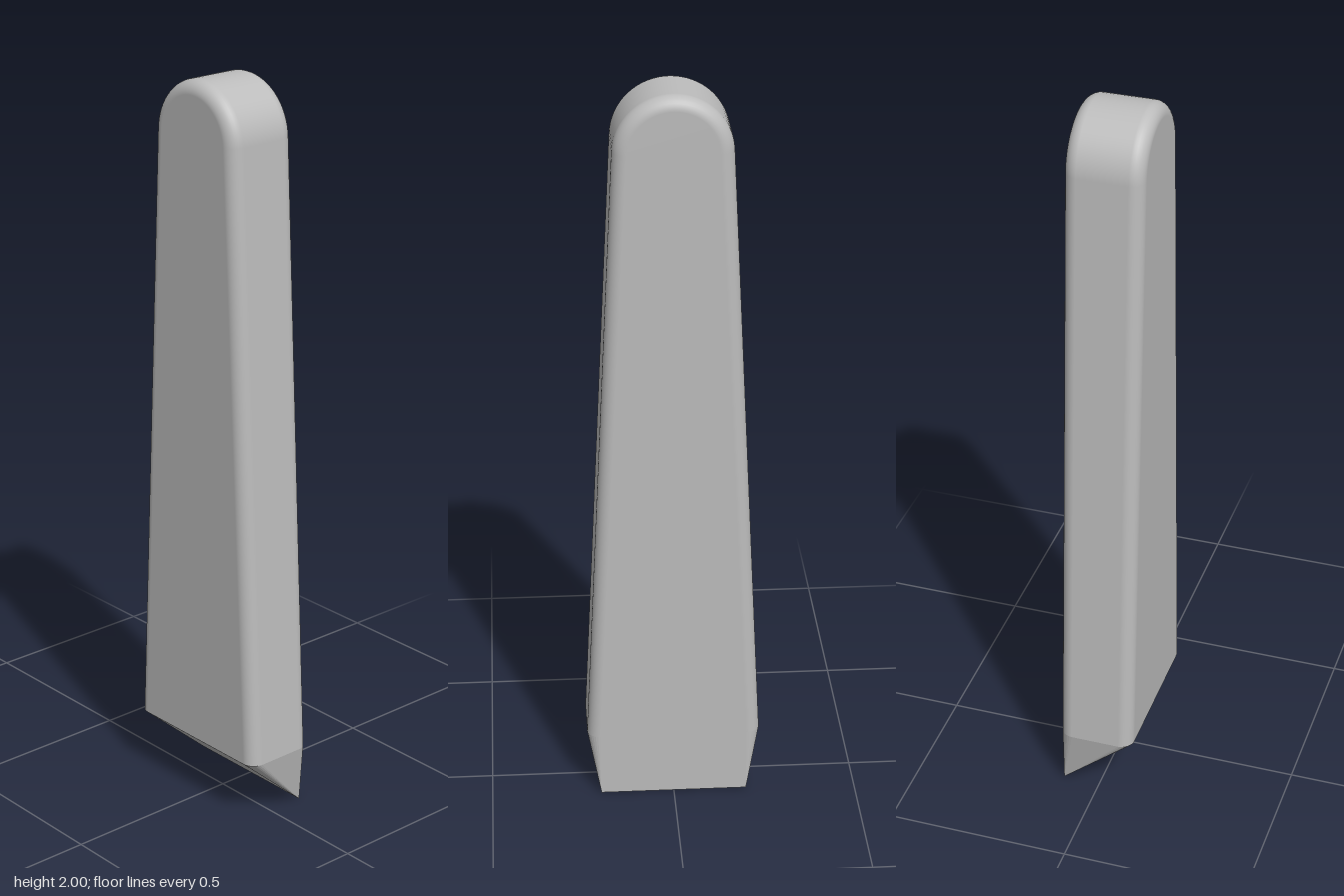
import * as THREE from 'three';

const R = 0.036;        // edge rounding
const HALF_DEPTH = 0.1025;
const HALF_BASE = 0.236;  // half width where the slanted cut begins
const CUT_Y = 0.18;
const TOP_R = 0.153;
const TOP_Y = 2 - TOP_R;
const TILT = 0.05;       // lean of the long sides
const ARC = 32, FILLET = 8;

// Stations along the inset outline, right foot over the rounded top to left foot
function outline() {
  const list = [];
  const foot = HALF_BASE - R;
  const c = Math.cos(TILT), s = Math.sin(TILT);
  list.push({ x: foot, y: CUT_Y, ox: 1, oy: 0, nx: c, ny: s });
  for (let i = 0; i <= ARC; i++) {
    const a = TILT + (Math.PI - 2 * TILT) * i / ARC;
    const nx = Math.cos(a), ny = Math.sin(a);
    list.push({ x: nx * (TOP_R - R), y: TOP_Y + ny * (TOP_R - R), ox: nx, oy: ny, nx, ny });
  }
  list.push({ x: -foot, y: CUT_Y, ox: -1, oy: 0, nx: -c, ny: s });
  return list;
}

// Rounded edge profile from the front face to the back face
function edgeProfile() {
  const list = [];
  for (const side of [1, -1]) {
    for (let k = 0; k <= FILLET; k++) {
      const t = k / FILLET * Math.PI / 2;
      const a = side > 0 ? Math.PI / 2 - t : -t;
      list.push({ out: Math.cos(a), nz: Math.sin(a), z: side * (HALF_DEPTH - R) + R * Math.sin(a) });
    }
  }
  return list;
}

export function createModel() {
  const group = new THREE.Group();
  group.name = 'taperedPeg';
  const grey = new THREE.MeshStandardMaterial({ color: 0xbcbcbc });
  grey.name = 'plain grey';
  const add = (name, geometry) => {
    const mesh = new THREE.Mesh(geometry, grey);
    mesh.name = name;
    group.add(mesh);
  };

  const stations = outline(), profile = edgeProfile();
  const cols = profile.length;

  // Sides, rounded top and rounded edges in one smooth band
  const pos = [], nor = [], idx = [];
  stations.forEach((s, i) => profile.forEach((p, j) => {
    pos.push(s.x + s.ox * R * p.out, s.y + s.oy * R * p.out, p.z);
    nor.push(s.nx * p.out, s.ny * p.out, p.nz);
    if (i < stations.length - 1 && j < cols - 1) {
      const a = i * cols + j, b = a + 1, c = a + cols, d = c + 1;
      idx.push(a, b, c, b, d, c);
    }
  }));
  const band = new THREE.BufferGeometry();
  band.setAttribute('position', new THREE.Float32BufferAttribute(pos, 3));
  band.setAttribute('normal', new THREE.Float32BufferAttribute(nor, 3));
  band.setIndex(idx);
  add('roundedSides', band);

  // Flat faces; the back one runs down to the tip of the wedge
  const foot = HALF_BASE - R;
  const face = stations.map(s => new THREE.Vector2(s.x, s.y));
  const front = new THREE.ShapeGeometry(new THREE.Shape(face));
  front.translate(0, 0, HALF_DEPTH);
  add('frontFace', front);
  const tips = [new THREE.Vector2(-foot, 0), new THREE.Vector2(foot, 0)];
  const back = new THREE.ShapeGeometry(new THREE.Shape([...face, ...tips]));
  back.rotateY(Math.PI).translate(0, 0, -HALF_DEPTH);
  add('backFace', back);

  // Slanted wedge: a sloping underside with fans closing each end to the tip
  const wedge = [];
  for (const side of [1, -1]) {
    const tip = [side * foot, 0, -HALF_DEPTH];
    const rim = profile.map(p => [side * (foot + R * p.out), CUT_Y, p.z]);
    for (let j = 0; j < cols - 1; j++) {
      const tri = [rim[j], tip, rim[j + 1]];
      if (side < 0) tri.reverse();
      wedge.push(...tri.flat());
    }
  }
  const FL = [-foot, CUT_Y, HALF_DEPTH], FR = [foot, CUT_Y, HALF_DEPTH];
  const TL = [-foot, 0, -HALF_DEPTH], TR = [foot, 0, -HALF_DEPTH];
  wedge.push(...[FL, TL, TR, FL, TR, FR].flat());
  const wedgeGeo = new THREE.BufferGeometry();
  wedgeGeo.setAttribute('position', new THREE.Float32BufferAttribute(wedge, 3));
  wedgeGeo.computeVertexNormals();
  add('slantedWedge', wedgeGeo);

  return group;
}
